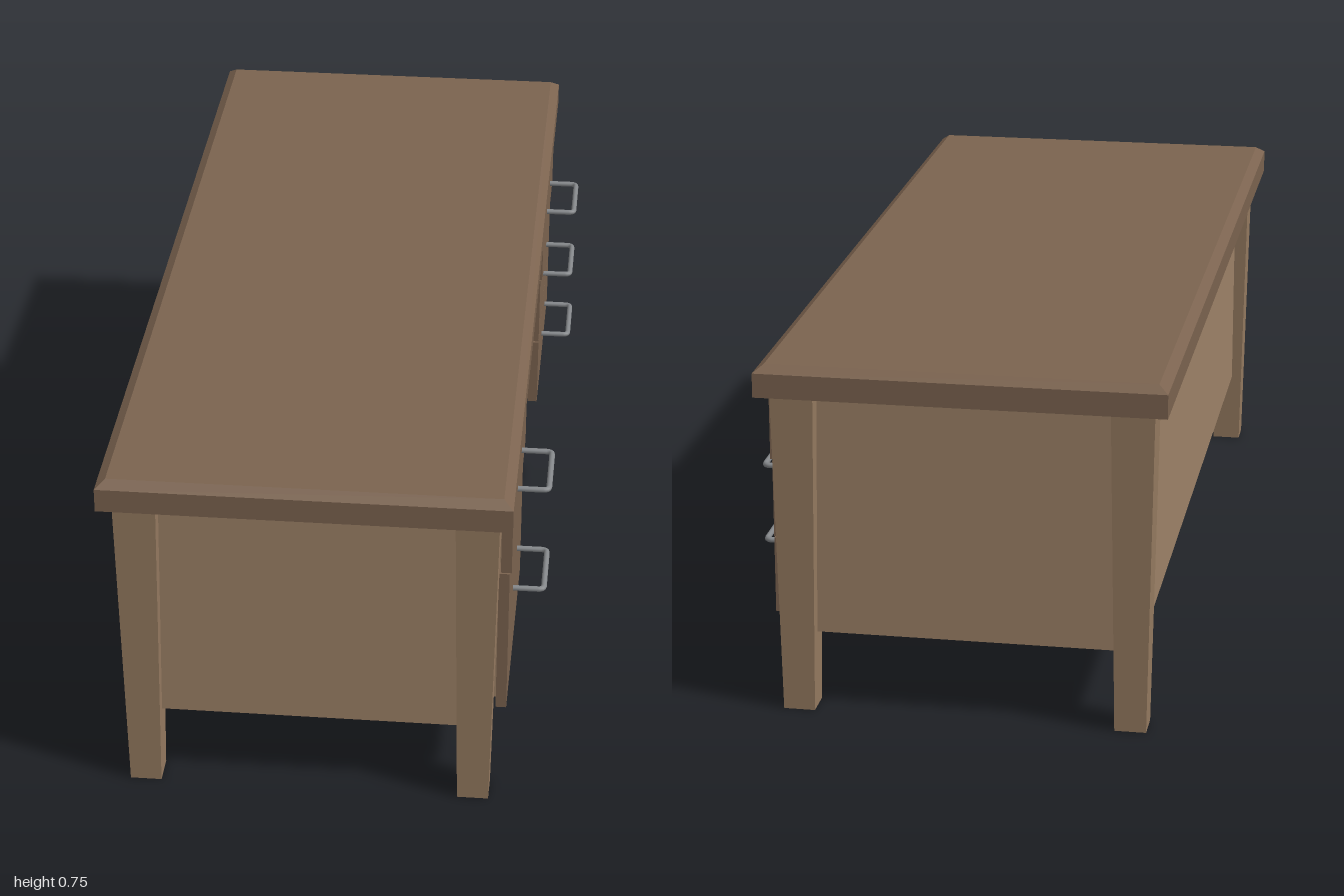
import * as THREE from 'three';

const mat = (color) => new THREE.MeshStandardMaterial({ color });

export function createModel() {
  const desk = new THREE.Group();
  desk.name = 'desk';
  const darkWood = mat(0x7b634f), legWood = mat(0x957a60), panelWood = mat(0x9d8267), steel = mat(0x85888b);

  const add = (name, geometry, material, parent = desk) => {
    const mesh = new THREE.Mesh(geometry, material);
    mesh.name = name;
    parent.add(mesh);
    return mesh;
  };
  // Box given by its limits on each axis
  const box = (name, [x0, x1], [y0, y1], [z0, z1], material, parent) => {
    const mesh = add(name, new THREE.BoxGeometry(x1 - x0, y1 - y0, Math.abs(z1 - z0)), material, parent);
    mesh.position.set((x0 + x1) / 2, (y0 + y1) / 2, (z0 + z1) / 2);
    return mesh;
  };
  // Four-sided block whose top and bottom differ in size, standing on y = 0
  const taperedBlock = (w0, d0, w1, d1, h) => {
    const g = new THREE.BoxGeometry(1, h, 1).translate(0, h / 2, 0);
    const p = g.attributes.position;
    for (let i = 0; i < p.count; i++) {
      const top = p.getY(i) > h / 2;
      p.setX(i, p.getX(i) * (top ? w1 : w0));
      p.setZ(i, p.getZ(i) * (top ? d1 : d0));
    }
    g.computeVertexNormals();
    return g;
  };

  // Table top with a bevelled upper edge
  box('tableTop', [-0.45, 0.38], [0.685, 0.735], [-1, 1], darkWood);
  add('tableTopBevel', taperedBlock(0.83, 2, 0.79, 1.96, 0.015), darkWood).position.set(-0.035, 0.735, 0);

  // Tapered legs: four corners and two beside the kneehole
  const leg = taperedBlock(0.065, 0.065, 0.088, 0.085, 0.685);
  for (const s of [-1, 1]) {
    add('frontLeg', leg, legWood).position.set(0.309, 0, s * 0.928);
    add('backLeg', leg, legWood).position.set(-0.378, 0, s * 0.928);
    add('kneeholeLeg', leg, legWood).position.set(0.309, 0, s * 0.328);
  }

  // Back panel and apron across the kneehole
  box('backPanel', [-0.39, -0.37], [0.165, 0.685], [-0.92, 0.92], panelWood);
  box('kneeholeApron', [0.295, 0.315], [0.6, 0.685], [-0.31, 0.31], panelWood);

  // Bent bar handle, projecting along +x
  const v = (x, z) => new THREE.Vector3(x, 0, z);
  const path = new THREE.CurvePath();
  path.add(new THREE.LineCurve3(v(-0.005, -0.076), v(0.052, -0.076)));
  path.add(new THREE.QuadraticBezierCurve3(v(0.052, -0.076), v(0.064, -0.076), v(0.064, -0.064)));
  path.add(new THREE.LineCurve3(v(0.064, -0.064), v(0.064, 0.064)));
  path.add(new THREE.QuadraticBezierCurve3(v(0.064, 0.064), v(0.064, 0.076), v(0.052, 0.076)));
  path.add(new THREE.LineCurve3(v(0.052, 0.076), v(-0.005, 0.076)));
  const handleShape = new THREE.TubeGeometry(path, 64, 0.006, 10);

  // Pedestals: side panels, floor, rail and drawers (bottom, top, handle height)
  const pedestals = [
    { side: 1, drawers: [[0.185, 0.515, 0.36], [0.518, 0.683, 0.605]] },
    { side: -1, drawers: [[0.185, 0.348, 0.27], [0.351, 0.515, 0.437], [0.518, 0.683, 0.605]] },
  ];
  for (const { side, drawers } of pedestals) {
    const pedestal = new THREE.Group();
    pedestal.name = side > 0 ? 'twoDrawerPedestal' : 'threeDrawerPedestal';
    desk.add(pedestal);
    box('endPanel', [-0.38, 0.3], [0.165, 0.685], [side * 0.915, side * 0.935], panelWood, pedestal);
    box('innerPanel', [-0.38, 0.3], [0.165, 0.685], [side * 0.317, side * 0.337], panelWood, pedestal);
    box('pedestalFloor', [-0.375, 0.325], [0.175, 0.187], [side * 0.33, side * 0.92], darkWood, pedestal);
    box('frontRail', [0.315, 0.338], [0.165, 0.187], [side * 0.35, side * 0.905], legWood, pedestal);
    for (const [y0, y1, handleY] of drawers) {
      const x1 = 0.371 + 0.004 * (handleY > 0.5);
      box('drawerFront', [x1 - 0.022, x1], [y0, y1], [side * 0.368, side * 0.89], darkWood, pedestal);
      box('drawerBox', [-0.2, x1 - 0.02], [y0 + 0.015, y1 - 0.015], [side * 0.385, side * 0.875], panelWood, pedestal);
      add('handle', handleShape, steel, pedestal).position.set(x1, handleY, side * 0.63);
    }
  }
  return desk;
}
